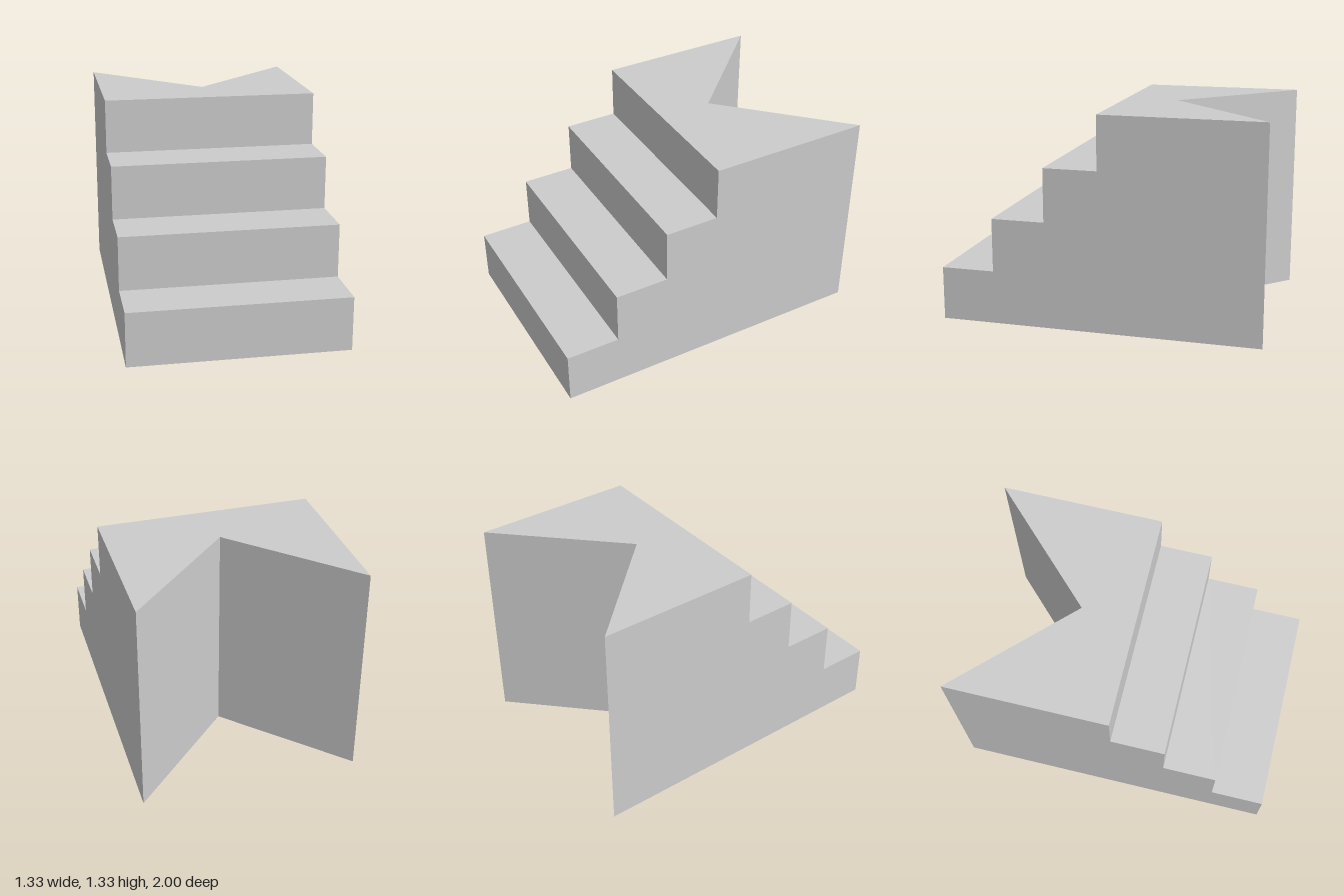
import * as THREE from 'three';

const T = 2 / 3;   // half width and notch depth
const S = 1 / 3;   // step rise and run
const STEPS = 4;
const H = S * STEPS;

export function createModel() {
  const group = new THREE.Group();
  const grey = new THREE.MeshStandardMaterial({ color: 0xcccccc, side: THREE.DoubleSide });
  grey.name = 'light grey';

  const add = (name, geometry) => {
    const mesh = new THREE.Mesh(geometry, grey);
    mesh.name = name;
    group.add(mesh);
    return mesh;
  };
  const polygon = (pts) =>
    new THREE.ShapeGeometry(new THREE.Shape(pts.map(([x, y]) => new THREE.Vector2(x, y))));

  // Stepped side outline as [z, y]
  const outline = [[-1, 0], [1, 0]];
  for (let i = 0; i < STEPS; i++) {
    const z = 1 - i * S;
    const back = i === STEPS - 1 ? -1 : z - S;
    outline.push([z, (i + 1) * S], [back, (i + 1) * S]);
    if (i < STEPS - 1) outline.push([back, (i + 1) * S]);
  }
  const profile = outline.filter((p, i) => i === 0 || p.join() !== outline[i - 1].join());

  // Side walls
  add('leftWall', polygon(profile.map(([z, y]) => [-z, y])).rotateY(Math.PI / 2).translate(T, 0, 0));
  add('rightWall', polygon(profile).rotateY(-Math.PI / 2).translate(-T, 0, 0));

  // Risers and treads; the underside stays open
  for (let i = 0; i < STEPS; i++) {
    const z = 1 - i * S;
    add(`riser${i + 1}`, new THREE.PlaneGeometry(2 * T, S).translate(0, (i + 0.5) * S, z));
    if (i < STEPS - 1) {
      add(`tread${i + 1}`, new THREE.PlaneGeometry(2 * T, S).rotateX(-Math.PI / 2)
        .translate(0, (i + 1) * S, z - S / 2));
    }
  }

  // Top landing with a V-shaped notch at the back
  add('landing', polygon([[-T, 0], [T, 0], [T, 1], [0, S], [-T, 1]])
    .rotateX(-Math.PI / 2).translate(0, H, 0));

  // Two slanted back walls meeting in the notch
  for (const side of [1, -1]) {
    add(side > 0 ? 'leftBackWall' : 'rightBackWall',
      new THREE.PlaneGeometry(T * Math.SQRT2, H)
        .rotateY(Math.PI + side * Math.PI / 4)
        .translate(side * T / 2, H / 2, -T));
  }
  return group;
}
